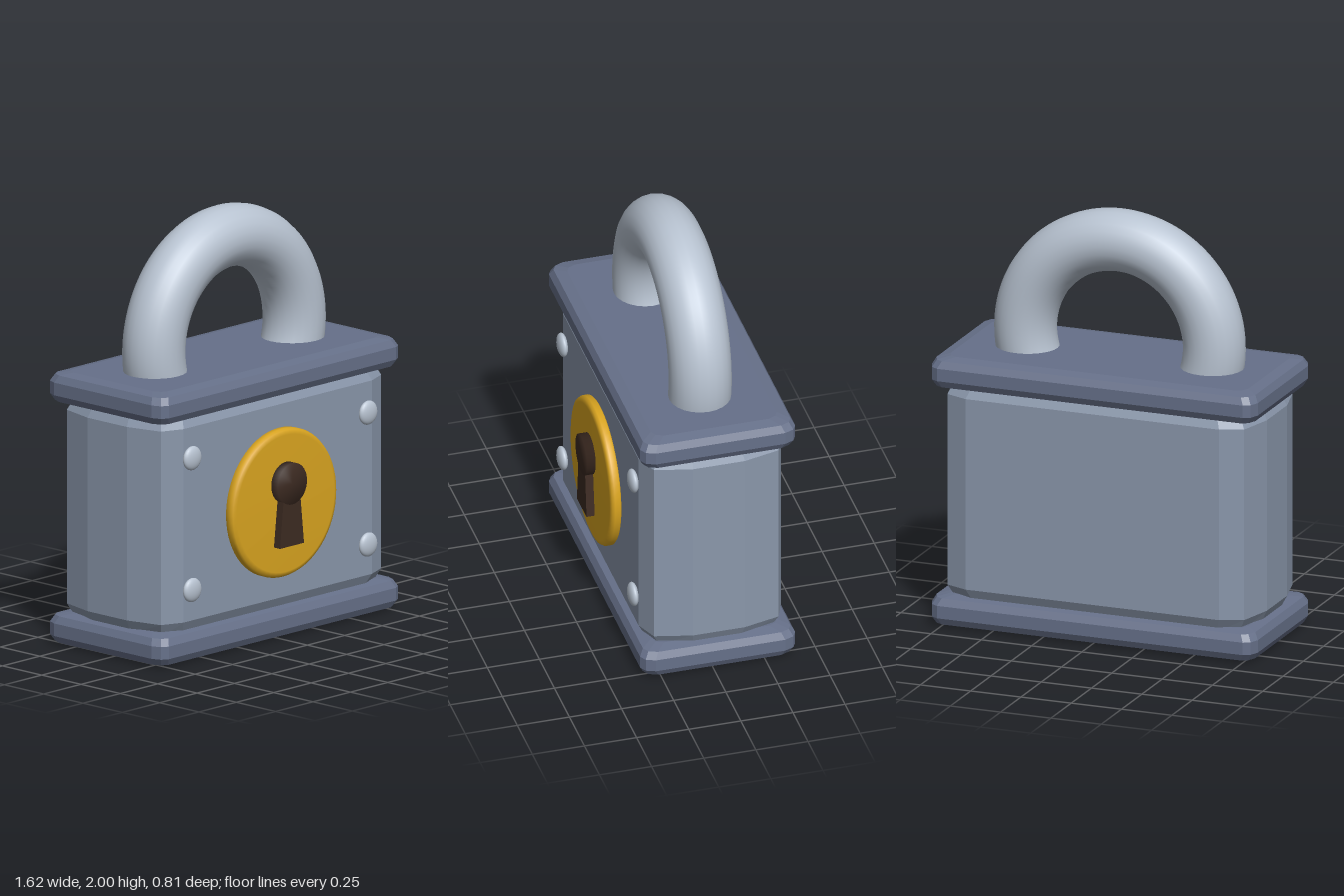
import * as THREE from 'three';

const MID_Z = -0.03;

const flat = (name, color) => {
  const m = new THREE.MeshStandardMaterial({ color });
  m.name = name;
  return m;
};

// Faceted block: each plan corner is a flat end, a corner point and a flat end.
// rings: [y, inset] from bottom to top.
function facetedBlock(hx, hz, flatX, flatZ, corner, rings) {
  const q = [[hx, flatZ], [hx - corner, hz - corner], [flatX, hz]];
  const r = [...q].reverse();
  const plan = [
    ...q,
    ...r.map(([x, z]) => [-x, z]),
    ...q.map(([x, z]) => [-x, -z]),
    ...r.map(([x, z]) => [x, -z]),
  ];
  const loops = rings.map(([y, inset]) =>
    plan.map(([x, z]) => [x * (1 - inset / hx), y, z * (1 - inset / hz)]));
  const pos = [];
  const tri = (...pts) => pts.forEach((p) => pos.push(...p));
  const n = plan.length;
  const last = loops.length - 1;
  for (let j = 0; j < n; j++) {
    const k = (j + 1) % n;
    for (let i = 0; i < last; i++) {
      const lo = loops[i], up = loops[i + 1];
      tri(lo[j], up[j], lo[k]);
      tri(lo[k], up[j], up[k]);
    }
    tri([0, rings[0][0], 0], loops[0][j], loops[0][k]);
    tri([0, rings[last][0], 0], loops[last][k], loops[last][j]);
  }
  const g = new THREE.BufferGeometry();
  g.setAttribute('position', new THREE.Float32BufferAttribute(pos, 3));
  g.computeVertexNormals();
  return g;
}

// Round part turned to face the front
function frontLathe(profile, segments) {
  const pts = profile.map(([x, y]) => new THREE.Vector2(x, y));
  return new THREE.LatheGeometry(pts, segments).rotateX(Math.PI / 2);
}

export function createModel() {
  const bodyMat = flat('body blue grey', 0x8a97ab);
  const plateMat = flat('dark slate', 0x667089);
  const steelMat = flat('light steel', 0xb8c3d1);
  const goldMat = flat('gold', 0xdaa520);
  const darkMat = flat('dark brown', 0x3d2b22);

  const model = new THREE.Group();
  model.name = 'padlock';
  const add = (name, geometry, material, x, y, z) => {
    const mesh = new THREE.Mesh(geometry, material);
    mesh.name = name;
    mesh.position.set(x, y, z);
    model.add(mesh);
    return mesh;
  };

  // Lock body
  add('body', facetedBlock(0.78, 0.342, 0.63, 0.125, 0.043,
    [[0.12, 0.035], [0.19, 0], [1.11, 0], [1.18, 0.035]]), bodyMat, 0, 0, MID_Z);

  // Bottom and top plates
  const plate = facetedBlock(0.81, 0.372, 0.76, 0.31, 0.018,
    [[0, 0.07], [0.012, 0.018], [0.045, 0], [0.105, 0], [0.138, 0.018], [0.15, 0.07]]);
  add('bottomPlate', plate, plateMat, 0, 0, MID_Z);
  add('topPlate', plate, plateMat, 0, 1.145, MID_Z);

  // Shackle: a ring arc whose ends sink into the top plate
  const sink = 0.32;
  const arc = new THREE.TorusGeometry(0.469, 0.146, 24, 72, Math.PI + 2 * sink).rotateZ(-sink);
  add('shackle', arc, steelMat, 0, 1.385, MID_Z);

  // Round lock plate with a rolled rim
  add('lockPlate', frontLathe([
    [0, 0], [0.335, 0], [0.352, 0.015], [0.352, 0.04], [0.345, 0.053], [0.325, 0.06], [0, 0.062],
  ], 64), goldMat, 0, 0.65, 0.303);

  // Keyhole
  add('keyholeRound', frontLathe([[0, 0], [0.098, 0], [0.098, 0.055], [0, 0.055]], 40),
    darkMat, 0, 0.75, 0.35);
  const slot = new THREE.Shape([
    [-0.08, 0.455], [0.08, 0.455], [0.054, 0.7], [-0.054, 0.7],
  ].map(([x, y]) => new THREE.Vector2(x, y)));
  add('keyholeSlot', new THREE.ExtrudeGeometry(slot, { depth: 0.053, bevelEnabled: false }),
    darkMat, 0, 0, 0.35);

  // Rivets
  const rivet = new THREE.SphereGeometry(0.057, 24, 16).scale(1, 1, 0.42);
  for (const x of [-0.588, 0.588]) {
    for (const y of [0.34, 0.967]) add('rivet', rivet, steelMat, x, y, 0.327);
  }

  return model;
}
